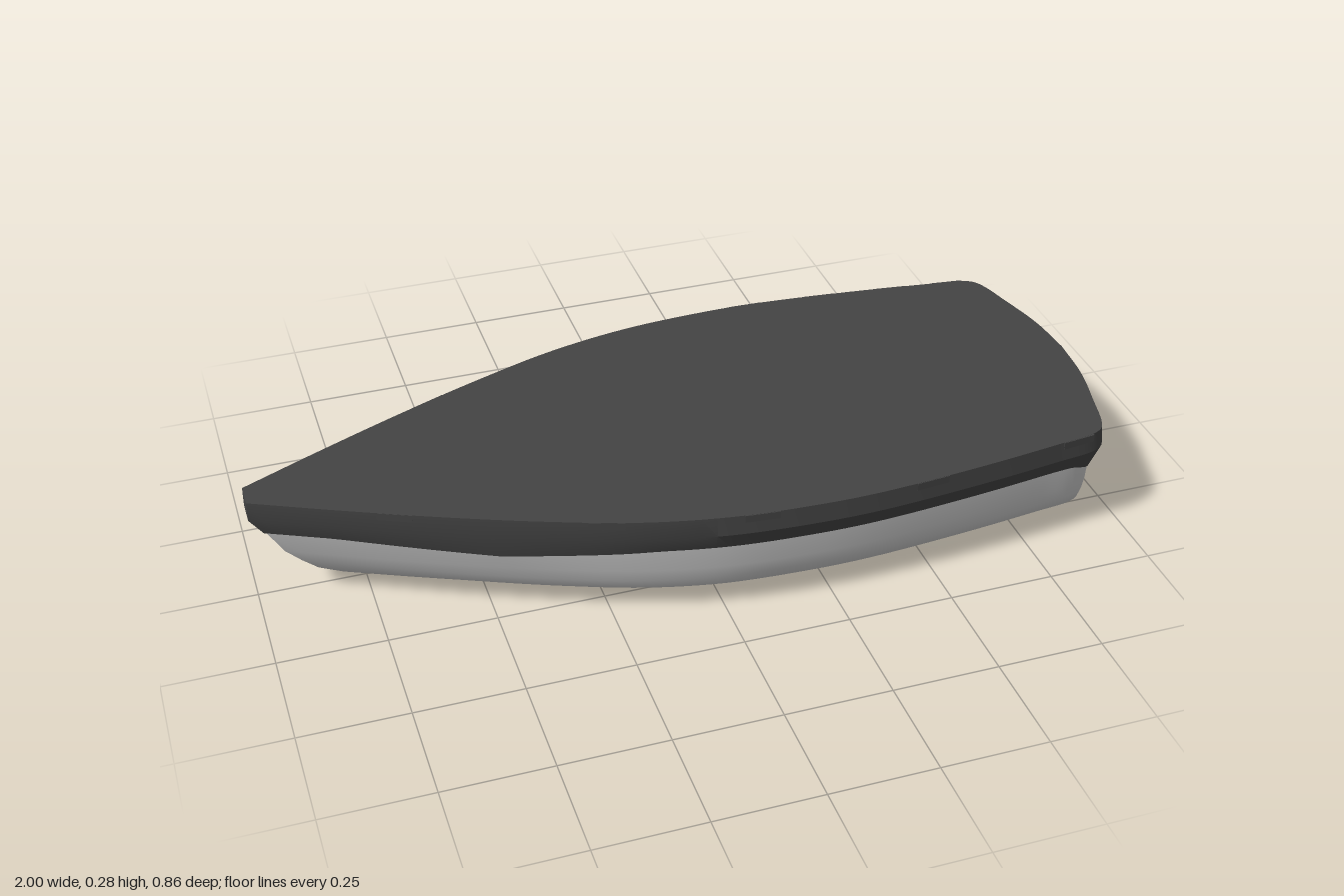
import * as THREE from 'three';
import { toCreasedNormals } from 'three/addons/utils/BufferGeometryUtils.js';

// Half outline of the deck edge, bow (-x) to stern (+x): [x, half width]
const half = new THREE.CatmullRomCurve3([
  [-1, 0.03], [-0.8, 0.125], [-0.6, 0.215], [-0.4, 0.297], [-0.2, 0.367], [0, 0.41],
  [0.2, 0.426], [0.35, 0.426], [0.6, 0.405], [0.8, 0.38], [0.9, 0.365], [0.93, 0.345],
  [0.965, 0.23], [0.99, 0.12], [1, 0],
].map(([x, z]) => new THREE.Vector3(x, 0, z))).getPoints(84);
const outline = [
  ...half,
  ...half.slice(0, -1).reverse().map((p) => new THREE.Vector3(p.x, 0, -p.z)),
];

// Lower edge of the rubber band: dips along the bow and steps down at the stern
function sheer(x) {
  const bowDip = 0.02 * Math.max(0, 1 - Math.abs(x + 0.5) / 0.35);
  const sternDip = 0.024 * THREE.MathUtils.smoothstep(x, 0.86, 0.95);
  return 0.19 - bowDip - sternDip;
}

// One horizontal section: the outline narrowed and drawn in at bow and stern
function section([y, width, bow, stern]) {
  return outline.map((p) => new THREE.Vector3(
    p.x * (p.x < 0 ? bow : stern),
    y === 'sheer' ? sheer(p.x) : y,
    p.z * width,
  ));
}

// Skin between sections listed from top to bottom, with optional flat ends
function loft(levels, { top = false, bottom = false, crease = 0.4 } = {}) {
  const rings = levels.map(section);
  const n = outline.length;
  const pos = [];
  const tri = (...pts) => pts.forEach((p) => pos.push(p.x, p.y, p.z));
  for (let k = 0; k < rings.length - 1; k++) {
    for (let i = 0; i < n; i++) {
      const j = (i + 1) % n;
      const [a, b, c, d] = [rings[k][i], rings[k + 1][i], rings[k + 1][j], rings[k][j]];
      tri(a, b, c);
      tri(a, c, d);
    }
  }
  const cap = (ring, up) => {
    const centre = new THREE.Vector3(0, ring[0].y, 0);
    ring.forEach((p, i) => {
      const q = ring[(i + 1) % n];
      if (up) tri(centre, p, q);
      else tri(centre, q, p);
    });
  };
  if (top) cap(rings[0], true);
  if (bottom) cap(rings[rings.length - 1], false);
  const geo = new THREE.BufferGeometry();
  geo.setAttribute('position', new THREE.Float32BufferAttribute(pos, 3));
  return toCreasedNormals(geo, crease);
}

export function createModel() {
  const group = new THREE.Group();
  const grey = new THREE.MeshStandardMaterial({ color: 0xcccccc });
  const dark = new THREE.MeshStandardMaterial({ color: 0x444444 });
  const add = (name, geo, mat) => {
    const mesh = new THREE.Mesh(geo, mat);
    mesh.name = name;
    group.add(mesh);
    return mesh;
  };

  // Hull: raked stem, rounded bilge and shallow V bottom [y, width, bow, stern]
  add('hull', loft([
    ['sheer', 0.96, 0.965, 0.976],
    [0.13, 0.945, 0.93, 0.977],
    [0.095, 0.925, 0.895, 0.976],
    [0.065, 0.893, 0.86, 0.974],
    [0.037, 0.78, 0.805, 0.968],
    [0.017, 0.5, 0.765, 0.963],
    [0, 0.14, 0.73, 0.96],
  ], { bottom: true, crease: 0.7 }), grey);

  // Band around the edge, closed by the flat deck
  add('deckAndRubbingBand', loft([
    [0.28, 0.993, 0.999, 0.995],
    [0.232, 1, 1, 1],
    ['sheer', 0.963, 0.97, 0.979],
  ], { top: true }), dark);

  // Small flat tabs along the upper rim
  const tab = new THREE.BoxGeometry(0.08, 0.018, 0.006);
  const addTab = (x, side) => {
    const i = half.findIndex((p) => p.x >= x);
    const p = half[i];
    const t = half[i + 1].clone().sub(half[i - 1]);
    const mesh = add('rimTab', tab, dark);
    mesh.position.set(p.x * 0.997, 0.2705, side * (p.z * 0.994 - 0.002));
    mesh.rotation.y = -side * Math.atan2(t.z, t.x);
  };
  [-0.73, -0.3, 0.06, 0.45, 0.84].forEach((x) => addTab(x, 1));
  [-0.55, 0.3, 0.5, 0.68, 0.84].forEach((x) => addTab(x, -1));

  return group;
}
